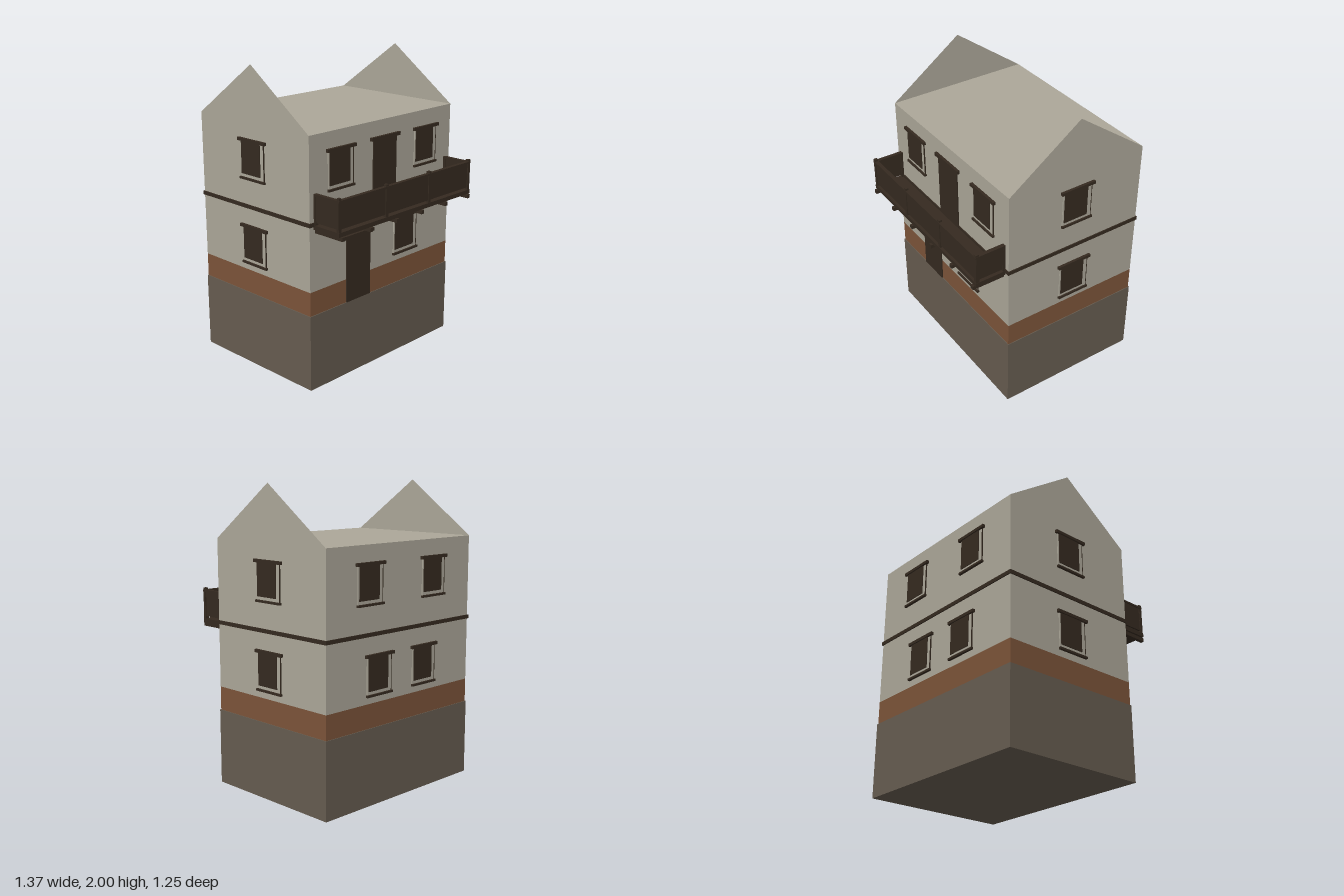
import * as THREE from 'three';

const X = 0.665, ZF = 0.395, ZB = -0.605, ZC = (ZF + ZB) / 2;

const mat = (name, color, side = THREE.FrontSide) => {
  const m = new THREE.MeshStandardMaterial({ color, side });
  m.name = name;
  return m;
};

export function createModel() {
  const plaster = mat('plaster', 0xaca799, THREE.DoubleSide);
  const stone = mat('stone', 0x665c50);
  const brick = mat('brown band', 0x7c5439);
  const wood = mat('dark wood', 0x352a20);

  const house = new THREE.Group();
  house.name = 'house';

  // Box given by its minimum and maximum on each axis
  const box = (parent, name, m, x0, x1, y0, y1, z0, z1) => {
    const mesh = new THREE.Mesh(new THREE.BoxGeometry(x1 - x0, y1 - y0, z1 - z0), m);
    mesh.position.set((x0 + x1) / 2, (y0 + y1) / 2, (z0 + z1) / 2);
    mesh.name = name;
    parent.add(mesh);
    return mesh;
  };

  // Main body with a flat ceiling between the gables
  box(house, 'stoneBase', stone, -X - 0.005, X + 0.005, 0, 0.503, ZB - 0.005, ZF + 0.005);
  box(house, 'brownBand', brick, -X, X, 0.503, 0.66, ZB, ZF);
  box(house, 'walls', plaster, -X, X, 0.66, 1.64, ZB, ZF);
  box(house, 'beltCourse', wood, -X - 0.007, X + 0.007, 1.08, 1.105, ZB - 0.007, ZF + 0.007);

  // Thin open gables at both ends
  const gable = new THREE.Shape([
    new THREE.Vector2(ZB, 1.64), new THREE.Vector2(ZF, 1.64), new THREE.Vector2(ZC, 2),
  ]);
  for (const s of [-1, 1]) {
    const g = new THREE.Mesh(new THREE.ShapeGeometry(gable), plaster);
    g.rotation.y = -Math.PI / 2;
    g.position.x = s * X;
    g.name = s > 0 ? 'leftGable' : 'rightGable';
    house.add(g);
  }

  // Opening groups face +z locally, origin on the wall at the sill
  const place = (name, x, y, z, turn) => {
    const g = new THREE.Group();
    g.name = name;
    g.position.set(x, y, z);
    g.rotation.y = turn;
    house.add(g);
    return g;
  };

  const addWindow = (x, y, z, turn, k = 1) => {
    const g = place('window', x, y, z, turn);
    box(g, 'surround', plaster, -0.11 * k, 0.106 * k, 0.015, 0.245, 0, 0.006);
    box(g, 'pane', wood, -0.1 * k, 0.075 * k, 0.035, 0.25, 0, 0.01);
    box(g, 'frameEdge', wood, 0.104 * k, 0.108 * k, 0.015, 0.245, 0, 0.008);
    box(g, 'sill', wood, -0.115 * k, 0.115 * k, 0, 0.014, 0, 0.016);
    box(g, 'lintel', wood, -0.125 * k, 0.125 * k, 0.246, 0.266, 0, 0.018);
  };

  const addDoor = (x, y, height) => {
    const g = place('door', x, y, ZF, 0);
    box(g, 'doorPanel', wood, -0.109, 0.109, 0, height, 0, 0.008);
    box(g, 'doorLintel', wood, -0.135, 0.135, height, height + 0.022, 0, 0.018);
  };

  // Side windows, one on each floor
  const floors = [0.704, 1.27];
  for (const y of floors) {
    addWindow(X, y, ZC, Math.PI / 2);
    addWindow(-X, y, ZC, -Math.PI / 2);
  }
  // Back windows, set closer together on the lower floor
  floors.forEach((y, i) => {
    for (const s of [-1, 1]) addWindow(s * [0.21, 0.295][i], y, ZB, Math.PI);
  });
  // Front windows and doors
  for (const s of [-1, 1]) addWindow(s * 0.4, 1.27, ZF, 0);
  addWindow(0.212, 0.704, ZF, 0, 1.05);
  addDoor(-0.242, 0.504, 0.426);
  addDoor(-0.002, 1.085, 0.432);

  // Balcony
  const balcony = new THREE.Group();
  balcony.name = 'balcony';
  house.add(balcony);
  const bx = 0.632, bz = 0.607;
  box(balcony, 'deck', wood, -bx, bx, 1.06, 1.088, ZF, bz);
  for (let i = 0; i < 6; i++) {
    const x = -0.607 + i * 0.2425;
    box(balcony, 'joist', wood, x - 0.012, x + 0.012, 1.035, 1.06, ZF, 0.622);
  }
  box(balcony, 'frontPanel', wood, -bx, bx, 1.104, 1.272, bz - 0.02, bz - 0.008);
  box(balcony, 'frontRail', wood, -bx, bx, 1.27, 1.283, bz - 0.026, bz);
  for (const s of [-1, 1]) {
    const x = s * (bx - 0.013);
    box(balcony, 'sidePanel', wood, x - 0.006, x + 0.006, 1.104, 1.272, ZF, bz - 0.01);
    box(balcony, 'sideRail', wood, x - 0.013, x + 0.013, 1.27, 1.283, ZF, bz);
    box(balcony, 'wallPost', wood, x - 0.011, x + 0.011, 1.085, 1.275, ZF, ZF + 0.016);
  }
  for (let i = 0; i < 4; i++) {
    const x = -0.619 + i * 0.4127;
    box(balcony, 'post', wood, x - 0.011, x + 0.011, 1.085, 1.296, bz - 0.024, bz - 0.002);
  }

  return house;
}
